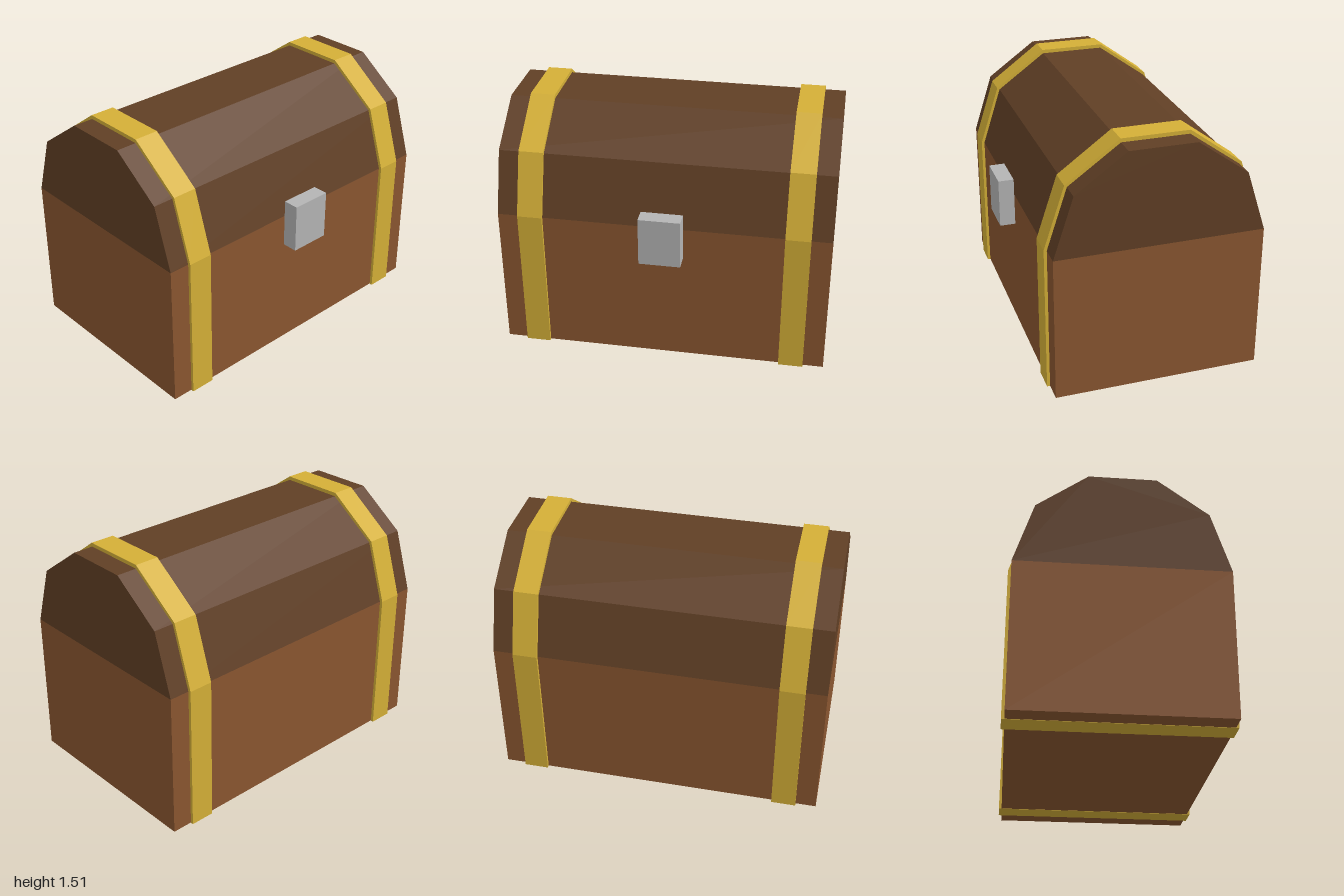
import * as THREE from 'three';

const MID_Z = -0.04; // the chest sits slightly back, the latch sticks out in front

// Mirrors half a section, given as [distance from middle, height] from bottom to top
function section(half) {
  const mirrored = half.map(([d, y]) => [-d, y]).reverse();
  return new THREE.Shape([...half, ...mirrored].map(([d, y]) => new THREE.Vector2(d, y)));
}

// Extrudes a section along x, centred on x
function prism(name, half, width, x, material) {
  const geometry = new THREE.ExtrudeGeometry(section(half), { depth: width, bevelEnabled: false });
  geometry.translate(0, 0, -width / 2);
  geometry.rotateY(Math.PI / 2);
  const mesh = new THREE.Mesh(geometry, material);
  mesh.name = name;
  mesh.position.set(x, 0, MID_Z);
  return mesh;
}

export function createModel() {
  const material = (name, color) => {
    const m = new THREE.MeshStandardMaterial({ color, flatShading: true });
    m.name = name;
    return m;
  };
  const wood = material('wood', 0x8a5630);
  const darkWood = material('dark wood', 0x603f25);
  const gold = material('gold', 0xd4af37);
  const silver = material('silver', 0xb4b4b4);

  const chest = new THREE.Group();
  chest.name = 'chest';

  // Box and faceted lid
  chest.add(prism('body', [[0.625, 0.002], [0.625, 0.9]], 2, 0, wood));
  chest.add(prism('lid', [[0.625, 0.9], [0.505, 1.27], [0.2, 1.49]], 2, 0, darkWood));

  // Metal bands wrapped round body and lid
  const bandSection = [[0.643, 0], [0.643, 0.905], [0.52, 1.28], [0.203, 1.513]];
  for (const [name, side] of [['leftBand', 1], ['rightBand', -1]]) {
    chest.add(prism(name, bandSection, 0.15, side * 0.8, gold));
  }

  // Latch plate on the front
  const latch = new THREE.Mesh(new THREE.BoxGeometry(0.25, 0.3, 0.095), silver);
  latch.name = 'latch';
  latch.position.set(0, 0.85, 0.6325);
  chest.add(latch);

  return chest;
}
